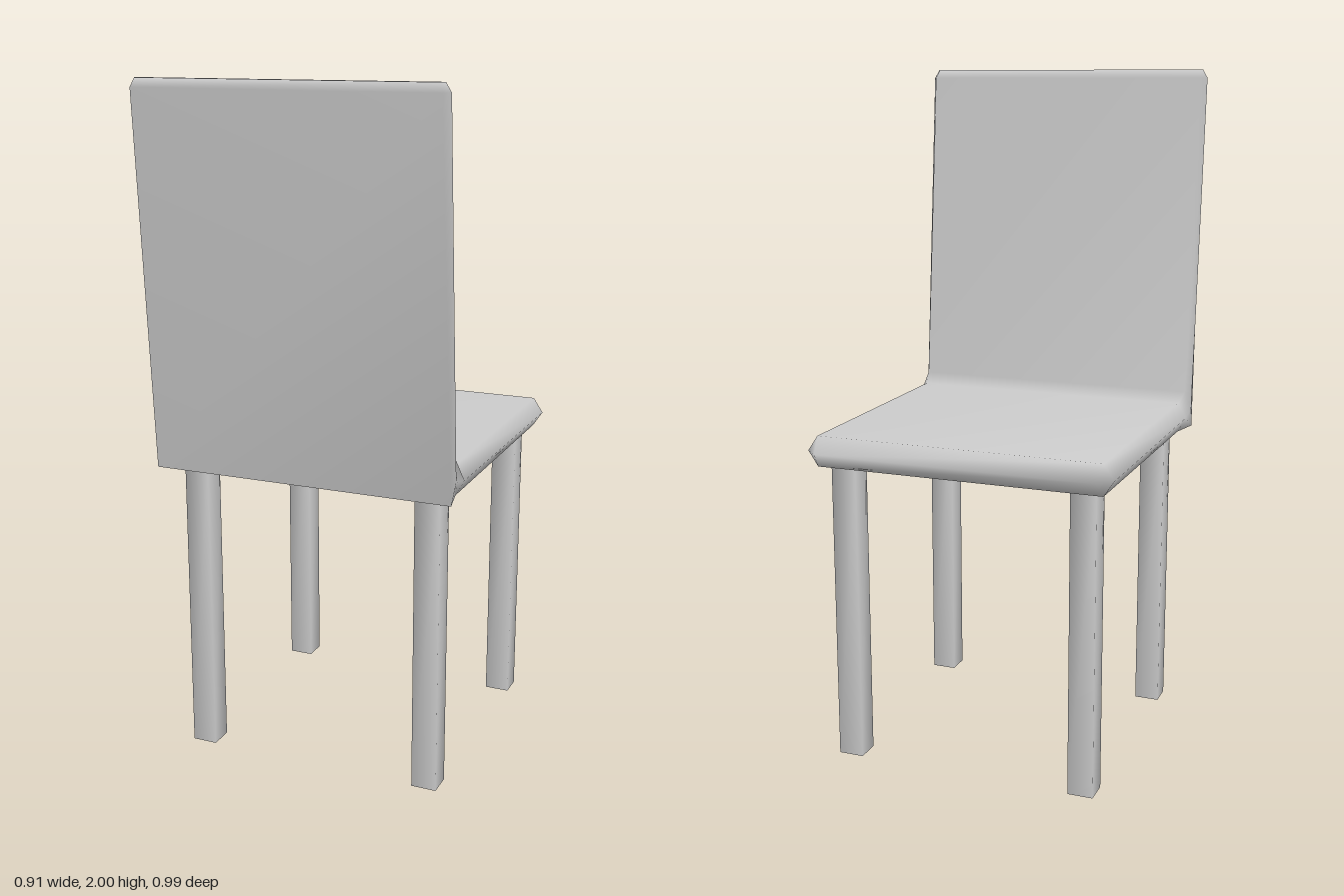
import * as THREE from 'three';
import { mergeVertices } from 'three/addons/utils/BufferGeometryUtils.js';

const material = new THREE.MeshStandardMaterial({ color: 0xcccccc });

// Weld shared corners so the shading runs smoothly over every edge
function smooth(geometry) {
  geometry.deleteAttribute('normal');
  geometry.deleteAttribute('uv');
  const welded = mergeVertices(geometry, 1e-4);
  welded.computeVertexNormals();
  return welded;
}

// Bevelled shell lofted from the front lip, along the seat and up the back.
// Each station: outer [z, y], inner [z, y], half width, outer bevel, inner bevel
function shellGeometry() {
  const stations = [
    [[-0.495, 0.94], [-0.495, 0.94], 0.415, 0, 0],
    [[-0.455, 0.895], [-0.455, 0.985], 0.455, 0.03, 0.03],
    [[0.31, 0.895], [0.31, 0.985], 0.455, 0.025, 0.025],
    [[0.405, 0.895], [0.35, 1.015], 0.455, 0.004, 0.015],
    [[0.493, 1.975], [0.442, 1.975], 0.455, 0.015, 0.015],
    [[0.482, 2.0], [0.455, 2.0], 0.44, 0.008, 0.008],
  ];
  const positions = [];
  const index = [];
  for (const [[oz, oy], [iz, iy], w, ob, ib] of stations) {
    const mz = (oz + iz) / 2, my = (oy + iy) / 2;
    positions.push(
      -w + ob, oy, oz, -w, my, mz, -w + ib, iy, iz,
      w - ib, iy, iz, w, my, mz, w - ob, oy, oz);
  }
  for (let s = 0; s < stations.length - 1; s++) {
    for (let k = 0; k < 6; k++) {
      const a = s * 6 + k, b = s * 6 + (k + 1) % 6;
      index.push(a, a + 6, b, b, a + 6, b + 6);
    }
  }
  // Top edge cap
  const last = (stations.length - 1) * 6;
  for (let k = 1; k < 5; k++) index.push(last, last + k + 1, last + k);

  const geometry = new THREE.BufferGeometry();
  geometry.setAttribute('position', new THREE.Float32BufferAttribute(positions, 3));
  geometry.setIndex(index);
  return smooth(geometry);
}

export function createModel() {
  const chair = new THREE.Group();
  chair.name = 'chair';

  const shell = new THREE.Mesh(shellGeometry(), material);
  shell.name = 'seatAndBackrest';
  chair.add(shell);

  // Four square legs
  const legGeometry = smooth(new THREE.BoxGeometry(0.075, 0.9, 0.072));
  for (const [end, z] of [['front', -0.39], ['rear', 0.305]]) {
    for (const side of [-1, 1]) {
      const leg = new THREE.Mesh(legGeometry, material);
      leg.name = end + (side > 0 ? 'LeftLeg' : 'RightLeg');
      leg.position.set(side * 0.36, 0.45, z);
      chair.add(leg);
    }
  }
  return chair;
}
